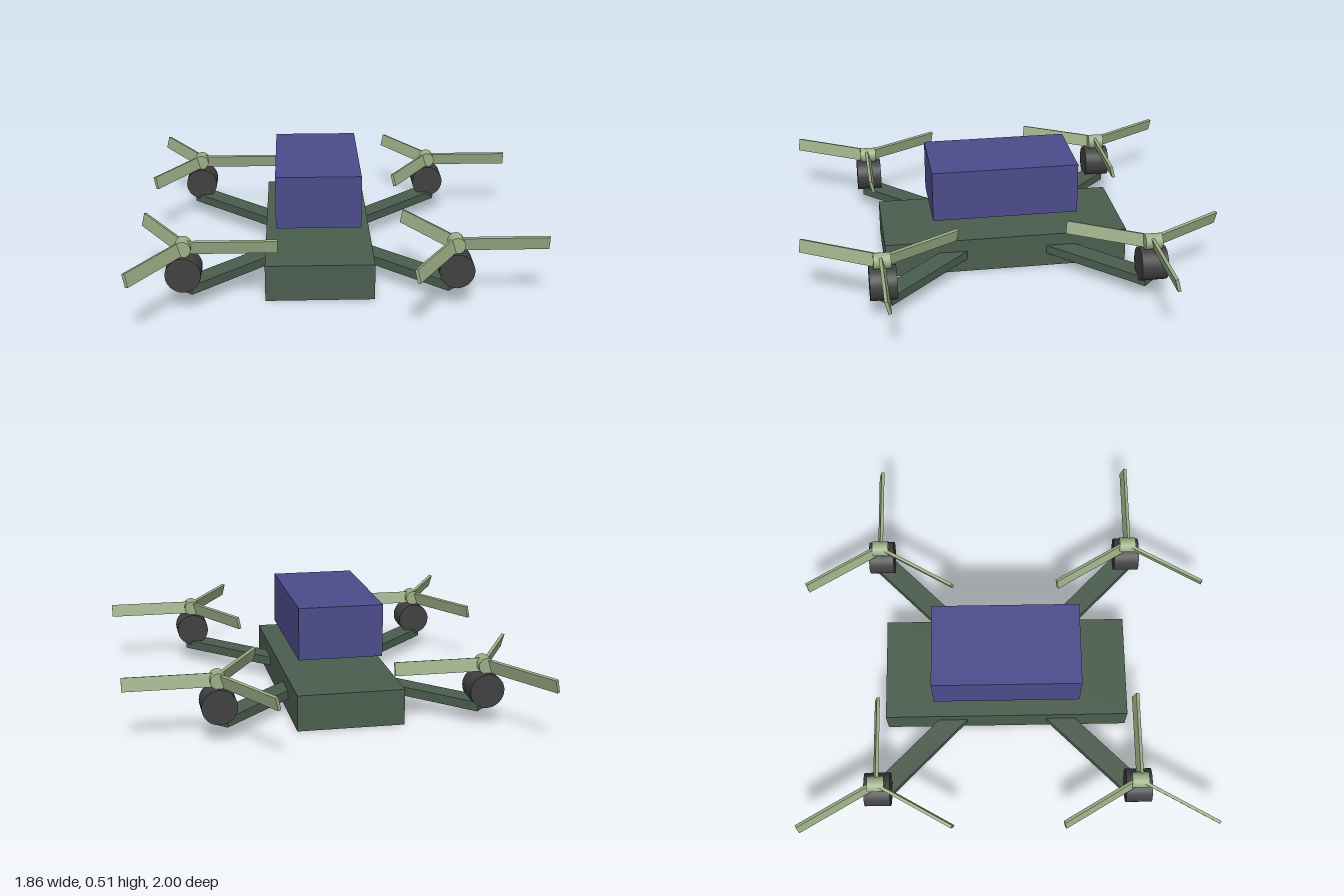
import * as THREE from 'three';

const mat = (color) => new THREE.MeshStandardMaterial({ color });

export function createModel() {
  const model = new THREE.Group();
  model.name = 'quadcopter';
  const green = mat(0x4a5d4e), blue = mat(0x4b4b8c), dark = mat(0x404040), sage = mat(0x9caf88);

  const add = (parent, name, geometry, material, x, y, z) => {
    const mesh = new THREE.Mesh(geometry, material);
    mesh.name = name;
    mesh.position.set(x, y, z);
    parent.add(mesh);
    return mesh;
  };

  const midX = -0.1;             // the frame sits slightly off centre
  const reachX = 0.61, reachZ = 0.627;

  // Frame and raised cargo box
  add(model, 'body', new THREE.BoxGeometry(0.5, 0.17, 1.19), green, midX, 0.085, 0);
  add(model, 'cargoBox', new THREE.BoxGeometry(0.4, 0.25, 0.71), blue, midX, 0.385, 0);

  // Shared geometry; arm and blade start at their own origin and run along +x
  const armLength = 0.64, bladeLength = 0.42;
  const armGeo = new THREE.BoxGeometry(armLength, 0.043, 0.1).translate(-armLength / 2, 0, 0);
  const motorGeo = new THREE.CylinderGeometry(0.08, 0.08, 0.125, 32).rotateX(Math.PI / 2);
  const hubGeo = new THREE.CylinderGeometry(0.037, 0.037, 0.08, 24).rotateX(Math.PI / 2);
  const bladeGeo = new THREE.BoxGeometry(bladeLength, 0.062, 0.015)
    .translate(bladeLength / 2, 0, 0)
    .rotateX(0.25);              // blade pitch

  for (const sx of [-1, 1]) {
    for (const sz of [-1, 1]) {
      const x = midX + sx * reachX, z = sz * reachZ;

      // Diagonal arm ending under the motor
      const arm = add(model, 'arm', armGeo, green, x, 0.0875, z);
      arm.rotation.y = Math.atan2(-sz, sx);

      add(model, 'motor', motorGeo, dark, x, 0.17, z);

      // Three-bladed rotor
      const rotor = new THREE.Group();
      rotor.name = 'rotor';
      rotor.position.set(x, 0.28, z);
      add(rotor, 'hub', hubGeo, sage, 0, 0.003, 0);
      for (let i = 0; i < 3; i++) {
        add(rotor, 'blade', bladeGeo, sage, 0, 0, 0).rotation.y = (i * Math.PI * 2) / 3;
      }
      model.add(rotor);
    }
  }
  return model;
}
